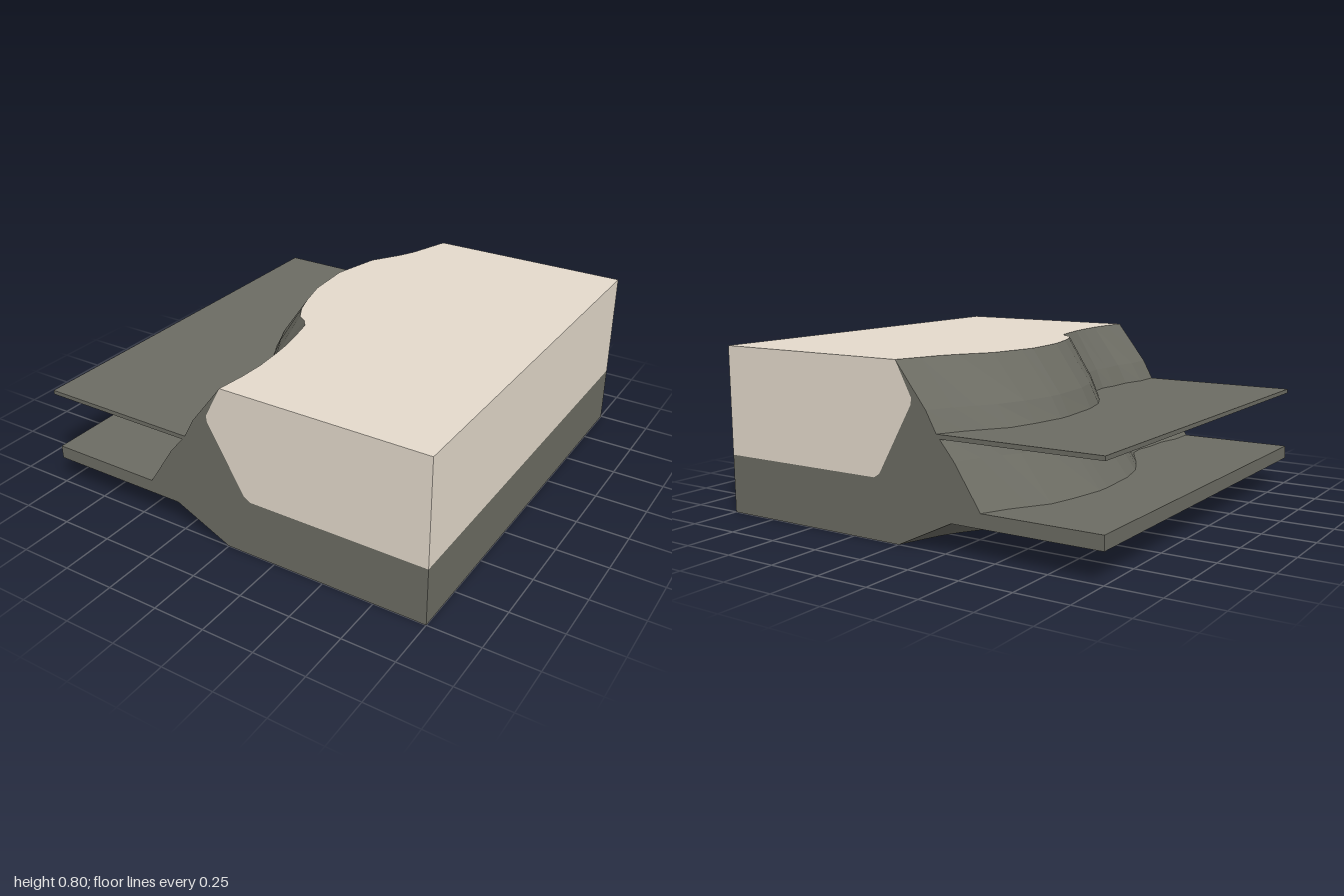
import * as THREE from 'three';

const rock = new THREE.MeshStandardMaterial({ color: 0x6c6c63, flatShading: true, side: THREE.DoubleSide });
rock.name = 'dark rock';
const sand = new THREE.MeshStandardMaterial({ color: 0xe4dacc, flatShading: true });
sand.name = 'pale ground';

// Coast stations: z, x of the cliff top, x of the ledge line
const stations = [
  [-1, 0, -0.21], [-0.88, -0.04, -0.27], [-0.79, -0.07, -0.33], [-0.71, -0.11, -0.385], [-0.57, -0.2, -0.42],
  [-0.4, -0.24, -0.45], [-0.33, -0.255, -0.45], [-0.1, -0.24, -0.43], [0.05, -0.2, -0.39],
  [0.15, -0.165, -0.34], [0.23, -0.12, -0.295], [0.26, -0.075, -0.275], [0.3, -0.045, -0.25],
  [0.41, -0.02, -0.18], [0.51, 0, -0.165], [0.6, 0.01, -0.18], [0.74, 0.02, -0.18],
  [0.86, 0.015, -0.21], [1, 0, -0.21],
];
const slab = 0.135; // height of the slab underside

// Profiles run counter-clockwise when seen from the front
const groundProfile = ([, top]) => [[1, 0.28], [1, 0.8], [top, 0.8]];
const cliffProfile = ([, top, ledge]) => [
  [top, 0.8], [ledge + (top - ledge) * 0.25, 0.6], [ledge, 0.505],
  [ledge * 0.8 - 0.13, 0.4], [ledge * 0.917 - 0.237, 0.2], [-1, 0.2], [-1, slab],
];
const undersideProfile = () => [[-1, slab], [1, slab]];
const footProfile = ([, top]) => [[top * 0.94 - 0.28, slab], [top, 0]];
const baseWallProfile = () => [[1, 0], [1, 0.28]];
const shelfProfile = ([, , ledge]) => [
  [ledge + 0.01, 0.505], [-1, 0.505], [-1, 0.485], [ledge - 0.01, 0.485],
];

// Skin joining the profile of every station
function loft(profile) {
  const pos = [];
  for (let i = 0; i < stations.length - 1; i++) {
    const p = profile(stations[i]), q = profile(stations[i + 1]);
    const z0 = stations[i][0], z1 = stations[i + 1][0];
    for (let j = 0; j < p.length - 1; j++) {
      const a = [...p[j], z0], b = [...p[j + 1], z0];
      const c = [...q[j + 1], z1], d = [...q[j], z1];
      pos.push(...a, ...b, ...c, ...a, ...c, ...d);
    }
  }
  const g = new THREE.BufferGeometry();
  g.setAttribute('position', new THREE.Float32BufferAttribute(pos, 3));
  g.computeVertexNormals();
  return g;
}

export function createModel() {
  const model = new THREE.Group();
  model.name = 'coastalCliff';

  const add = (name, geometry, material) => {
    const mesh = new THREE.Mesh(geometry, material);
    mesh.name = name;
    model.add(mesh);
    return mesh;
  };
  // Matching flat end faces at the front and back
  const addEnds = (name, points, material) => {
    const shape = new THREE.Shape(points.map(([x, y]) => new THREE.Vector2(x, y)));
    const g = new THREE.ShapeGeometry(shape).translate(0, 0, 1);
    add(name + 'Front', g, material);
    add(name + 'Back', g, material).scale.z = -1;
  };

  // Plateau, cliff with sea bed, and thin shelf
  add('plateau', loft(groundProfile), sand);
  add('cliff', loft(cliffProfile), rock);
  add('shelf', loft(shelfProfile), rock);

  // Hollow base: flat slab underside with a sloping foot and a wall below it
  add('underside', loft(undersideProfile), rock);
  add('foot', loft(footProfile), rock);
  add('baseWall', loft(baseWallProfile), rock);

  // Cut ends, split where the ground meets the rock
  const end = stations[stations.length - 1];
  const seam = [[0.13, 0.28], [0.1, 0.3], [-0.078, 0.615], [-0.082, 0.645]];
  addEnds('plateauEnd', [...groundProfile(end), ...[...seam].reverse()], sand);
  addEnds('cliffEnd', [...cliffProfile(end), ...footProfile(end), ...baseWallProfile(), ...seam], rock);
  addEnds('shelfEnd', shelfProfile(end), rock);

  return model;
}
